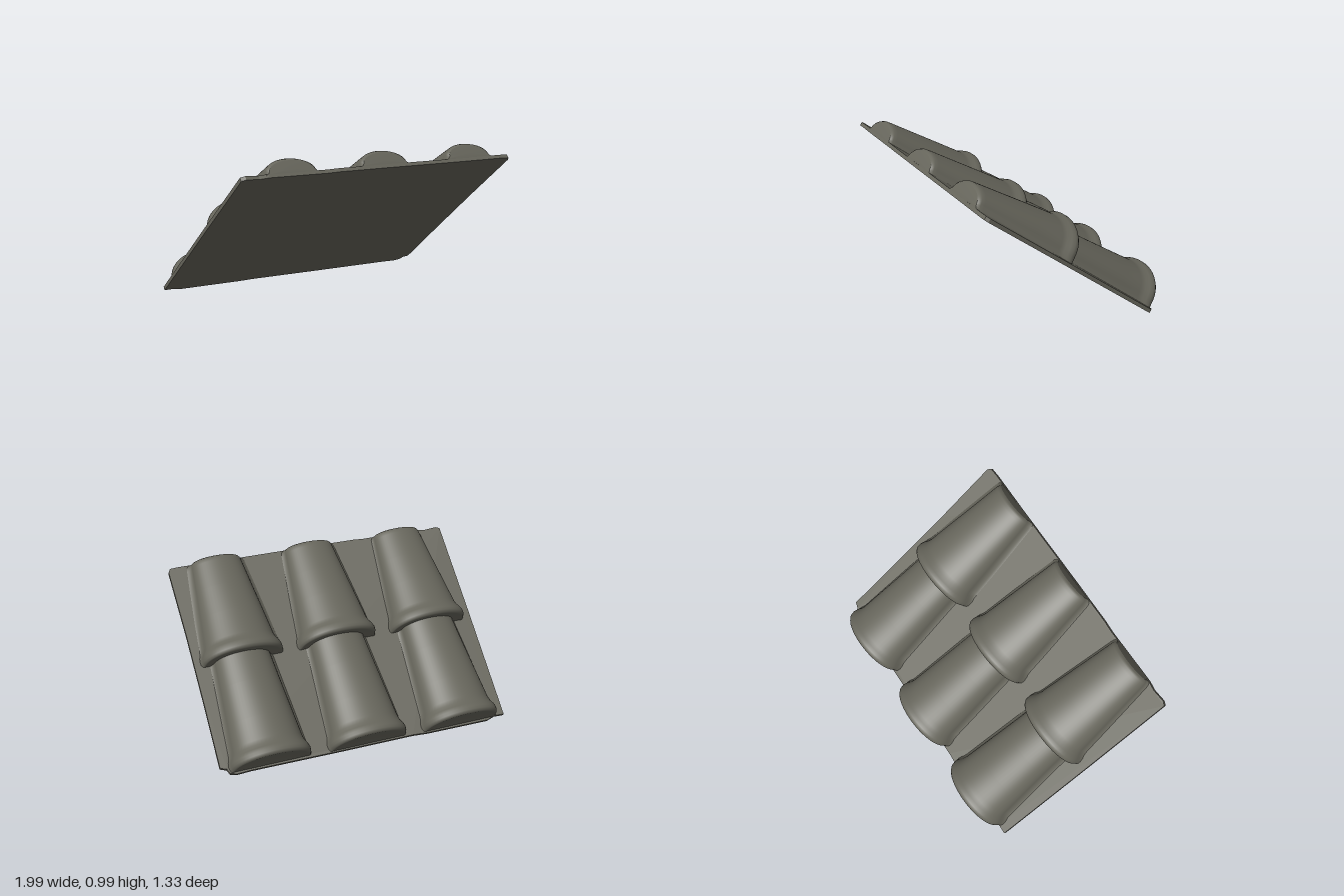
import * as THREE from 'three';

const clay = new THREE.MeshStandardMaterial({ color: 0x67665c });
clay.name = 'greyClay';

const THICK = 0.025; // backing sheet
const ARC = 28;

// One arched section at station s: half width w, crown height h, foot flare f
function section(s, w, h, f) {
  const pts = [[-w - f, THICK - 0.006, s], [-w - f * 0.4, THICK + 0.004, s]];
  for (let k = 1; k < ARC; k++) {
    const t = (Math.PI * k) / ARC;
    pts.push([-w * Math.cos(t), THICK + 0.006 + (h - THICK - 0.006) * Math.pow(Math.sin(t), 0.9), s]);
  }
  pts.push([w + f * 0.4, THICK + 0.004, s], [w + f, THICK - 0.006, s]);
  return pts;
}

function geometryFrom(points, index) {
  const g = new THREE.BufferGeometry();
  g.setAttribute('position', new THREE.Float32BufferAttribute(points.flat(), 3));
  g.setIndex(index);
  g.computeVertexNormals();
  return g;
}

// Skin running through the sections
function loft(sections) {
  const n = sections[0].length, index = [];
  for (let i = 0; i < sections.length - 1; i++) {
    for (let j = 0; j < n - 1; j++) {
      const a = i * n + j, b = a + 1, c = a + n, d = c + 1;
      index.push(a, c, b, b, c, d);
    }
  }
  return geometryFrom(sections.flat(), index);
}

// End face, slightly dished by depth
function endFace(pts, depth, towardHigh) {
  const index = [], n = pts.length;
  const mid = [0, pts[n >> 1][1] * 0.45, pts[0][2] + depth];
  for (let j = 1; j < n; j++) index.push(0, towardHigh ? j + 1 : j, towardHigh ? j : j + 1);
  index.push(0, towardHigh ? 1 : n, towardHigh ? n : 1);
  return geometryFrom([mid, ...pts], index);
}

function makeTile(name, stations) {
  const tile = new THREE.Group();
  tile.name = name;
  const sections = stations.map((p) => section(...p));
  const add = (part, g) => {
    const m = new THREE.Mesh(g, clay);
    m.name = part;
    tile.add(m);
  };
  add('barrel', loft(sections));
  add('lowEnd', endFace(sections[0], 0.012, false));
  add('highEnd', endFace(sections[sections.length - 1], 0.004, true));
  return tile;
}

// Stations: distance up the slope, half width, height, foot flare
const lowerStations = [
  [0.022, 0.243, 0.215, 0.012], [0.026, 0.254, 0.232, 0.012], [0.04, 0.262, 0.242, 0.012],
  [0.06, 0.264, 0.242, 0.014], [0.085, 0.257, 0.232, 0.018], [0.11, 0.244, 0.218, 0.024],
  [0.145, 0.236, 0.211, 0.03], [0.3, 0.224, 0.199, 0.032], [0.55, 0.204, 0.181, 0.034],
  [0.82, 0.185, 0.162, 0.034],
];
const upperStations = [
  [0.748, 0.252, 0.212, 0.008], [0.75, 0.262, 0.23, 0.008], [0.765, 0.27, 0.242, 0.01],
  [0.785, 0.27, 0.242, 0.012], [0.81, 0.262, 0.232, 0.018], [0.835, 0.248, 0.216, 0.024],
  [0.865, 0.239, 0.209, 0.03], [1.05, 0.218, 0.187, 0.034], [1.25, 0.195, 0.162, 0.034],
  [1.44, 0.174, 0.139, 0.032], [1.465, 0.171, 0.135, 0.03], [1.478, 0.165, 0.125, 0.028],
  [1.485, 0.156, 0.112, 0.026],
];

export function createModel() {
  const model = new THREE.Group();
  model.name = 'roofTilePanel';

  // Sloped frame: local y is the panel's normal, local z runs up the slope
  const panel = new THREE.Group();
  panel.name = 'slopedPanel';
  panel.rotation.x = -0.6386;
  panel.position.z = -0.54;
  model.add(panel);

  // Backing sheet with a slightly uneven outline
  const outline = [
    [-0.965, 0.015], [-0.9, 0.018], [-0.84, 0.0], [-0.4, 0.005], [-0.3, 0.012], [0.2, 0.014],
    [0.4, 0.016], [0.8, 0.02], [0.9, 0.016], [0.94, 0.028], [0.955, 0.06], [0.995, 0.075],
    [0.985, 0.5], [0.978, 1.0], [0.98, 1.47], [0.965, 1.494], [0.9, 1.497], [0.6, 1.492],
    [0, 1.488], [-0.34, 1.484], [-0.42, 1.478], [-0.82, 1.478], [-0.88, 1.468],
    [-0.97, 1.475], [-0.998, 1.462], [-0.985, 0.8],
  ];
  const sheetGeo = new THREE.ExtrudeGeometry(
    new THREE.Shape(outline.map(([x, s]) => new THREE.Vector2(x, s))),
    { depth: THICK, bevelEnabled: false });
  sheetGeo.rotateX(Math.PI / 2).translate(0, THICK, 0);
  const sheet = new THREE.Mesh(sheetGeo, clay);
  sheet.name = 'backingSheet';
  panel.add(sheet);

  // Three columns of two overlapping tapered tiles
  for (const x of [-0.655, 0, 0.655]) {
    const lower = makeTile('lowerTile', lowerStations);
    lower.position.set(x + 0.014, 0, x * 0.012);
    const upper = makeTile('upperTile', upperStations);
    upper.position.set(x + 0.003, x * 0.006, x * 0.012);
    panel.add(lower, upper);
  }
  return model;
}
